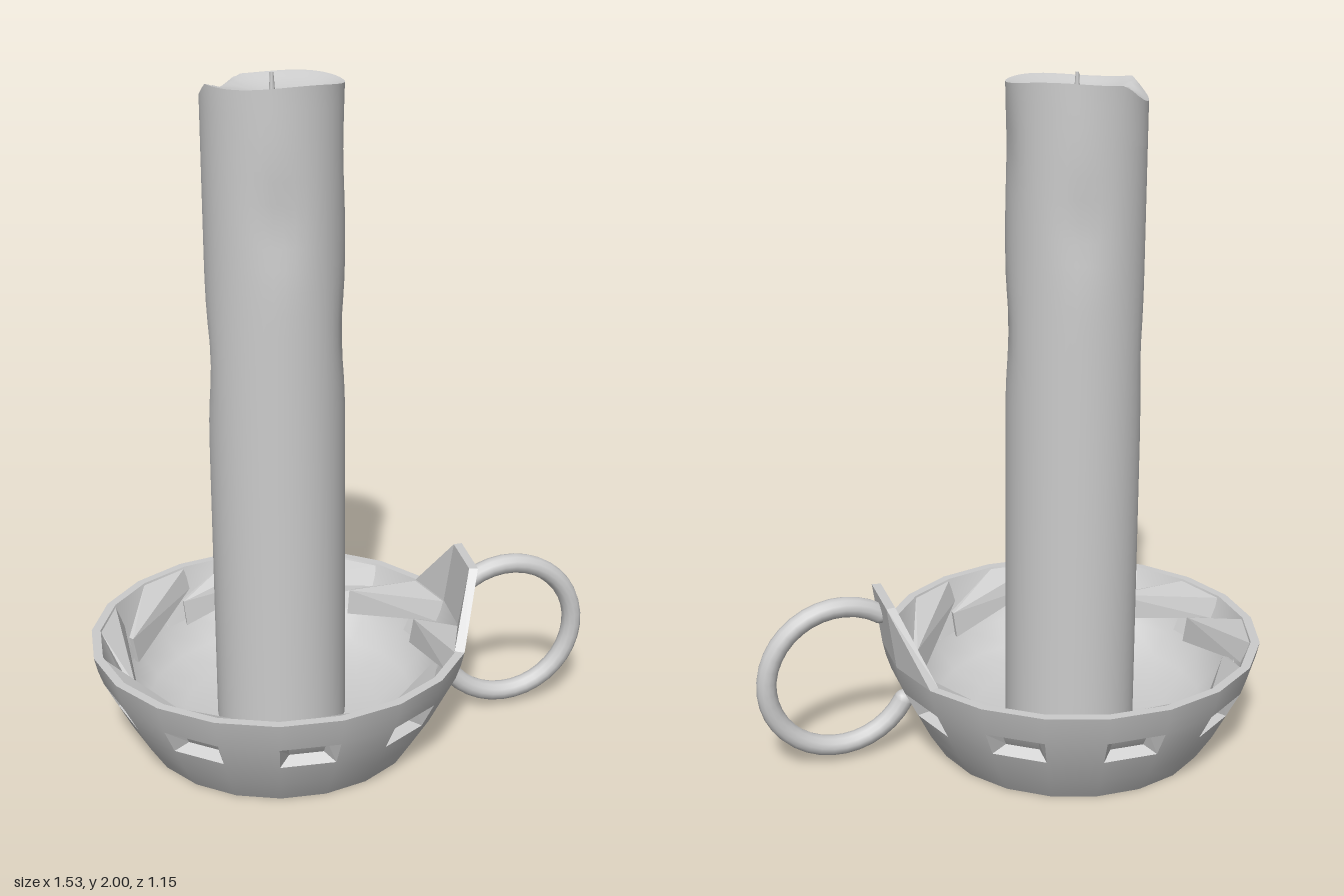
import * as THREE from 'three';
import { mergeVertices } from 'three/addons/utils/BufferGeometryUtils.js';
import { ConvexGeometry } from 'three/addons/geometries/ConvexGeometry.js';

const SIDES = 20, STEP = Math.PI * 2 / SIDES, DEG = Math.PI / 180;
const smooth = new THREE.MeshStandardMaterial({ color: 0xcccccc, side: THREE.DoubleSide });
const flat = new THREE.MeshStandardMaterial({ color: 0xcccccc, side: THREE.DoubleSide, flatShading: true });

// Point at radius r, height y, angle a (from +z towards +x)
const polar = (r, y, a) => new THREE.Vector3(r * Math.sin(a), y, r * Math.cos(a));

function add(parent, name, geometry, material) {
  const mesh = new THREE.Mesh(geometry, material);
  mesh.name = name;
  parent.add(mesh);
  return mesh;
}

function lathe(points, segments = SIDES, start = 0, length = Math.PI * 2) {
  return new THREE.LatheGeometry(points.map(p => new THREE.Vector2(...p)), segments, start, length);
}

// Gives the bowl's separate bands one continuous curved shading
function wallNormals(geo) {
  const p = geo.attributes.position, n = geo.attributes.normal;
  for (let i = 0; i < p.count; i++) {
    const r = Math.hypot(p.getX(i), p.getZ(i));
    const v = new THREE.Vector3(p.getX(i) / r, -(0.65 - 1.1 * p.getY(i)), p.getZ(i) / r).normalize();
    n.setXYZ(i, v.x, v.y, v.z);
  }
  return geo;
}

function quads(list) {
  const pos = [];
  for (const [a, b, c, d] of list) for (const v of [a, b, c, a, c, d]) pos.push(v.x, v.y, v.z);
  const geo = new THREE.BufferGeometry();
  geo.setAttribute('position', new THREE.Float32BufferAttribute(pos, 3));
  geo.computeVertexNormals();
  return geo;
}

// Tapered recess filling one panel of the bowl wall
function windowRecess(a) {
  const outer = [polar(0.51, 0.16, a), polar(0.51, 0.16, a + STEP),
    polar(0.55, 0.24, a + STEP), polar(0.55, 0.24, a)];
  const m = 0.17 * STEP;
  const inner = [polar(0.475, 0.18, a + m), polar(0.475, 0.18, a + STEP - m),
    polar(0.505, 0.232, a + STEP - m), polar(0.505, 0.232, a + m)];
  const faces = [inner];
  for (let i = 0; i < 4; i++) {
    const j = (i + 1) % 4;
    faces.push([outer[i], outer[j], inner[j], inner[i]]);
  }
  return quads(faces);
}

// Slanted shard running along the inside of the rim
function fin(c) {
  return new ConvexGeometry([
    polar(0.548, 0.325, c - 45 * DEG), polar(0.548, 0.325, c - 27 * DEG),
    polar(0.52, 0.26, c - 45 * DEG),
    polar(0.47, 0.25, c - 2 * DEG), polar(0.485, 0.25, c - 3 * DEG),
    polar(0.455, 0.17, c - 2 * DEG), polar(0.47, 0.17, c - 3 * DEG),
  ]);
}

function createBowl() {
  const bowl = new THREE.Group();
  bowl.name = 'bowl';
  add(bowl, 'lowerWall', wallNormals(lathe([[0.42, 0], [0.47, 0.08], [0.51, 0.16]])), smooth);
  add(bowl, 'upperWall', wallNormals(lathe([[0.55, 0.24], [0.565, 0.285], [0.575, 0.33]])), smooth);
  add(bowl, 'rim', lathe([[0.575, 0.33], [0.548, 0.33]]), smooth);
  add(bowl, 'innerBowl', lathe([[0.548, 0.33], [0.515, 0.24], [0.47, 0.165], [0.41, 0.1],
    [0.3, 0.06], [0.15, 0.045], [0, 0.04]]), smooth);
  const base = add(bowl, 'base', new THREE.CircleGeometry(0.42, SIDES), smooth);
  base.rotation.x = Math.PI / 2;

  // Windows alternate with plain panels
  for (let i = 0; i < SIDES; i++) {
    const a = i * STEP;
    if (i % 2) {
      add(bowl, 'wallPanel', wallNormals(lathe([[0.51, 0.16], [0.55, 0.24]], 1, a, STEP)), smooth);
    } else {
      add(bowl, 'window', windowRecess(a), flat);
      add(bowl, 'innerFin', fin(a + STEP / 2), flat);
    }
  }

  // Raised tab behind the handle, spanning three panels
  const angles = [4, 5, 6, 7].map(i => i * STEP);
  const layer = (rim, top) => angles.map(a => polar(rim, 0.33, a))
    .concat(polar(top, 0.52, angles[1]), polar(top, 0.52, angles[2]));
  const o = layer(0.575, 0.602), n = layer(0.545, 0.575);
  const faces = [[o[1], o[2], o[5], o[4]], [o[0], o[1], o[4], o[4]], [o[2], o[3], o[5], o[5]],
    [n[2], n[1], n[4], n[5]], [n[1], n[0], n[4], n[4]], [n[3], n[2], n[5], n[5]],
    [o[0], o[4], n[4], n[0]], [o[4], o[5], n[5], n[4]], [o[5], o[3], n[3], n[5]]];
  add(bowl, 'handleTab', quads(faces), flat);
  return bowl;
}

// Melted wax: shallow dents in the sides and a dip in the top edge
function melt(geo) {
  geo.deleteAttribute('uv');
  geo.deleteAttribute('normal');
  const p = geo.attributes.position, v = new THREE.Vector3();
  const dents = [[-90, 1.2, 0.014], [85, 1.27, 0.012], [5, 1.62, 0.012], [175, 1.6, 0.01], [95, 1.8, 0.008]];
  for (let i = 0; i < p.count; i++) {
    v.fromBufferAttribute(p, i);
    const r = Math.hypot(v.x, v.z), a = Math.atan2(v.x, v.z);
    let k = 1;
    for (const [deg, y, depth] of dents) {
      const da = Math.acos(Math.min(1, Math.max(-1, Math.cos(a - deg * DEG))));
      k -= depth / 0.2 * Math.exp(-((da / 0.3) ** 2) - ((v.y - y) / 0.12) ** 2);
    }
    if (v.y > 1.85) {
      const side = Math.max(0, (-0.96 * v.x - 0.28 * v.z) / 0.2 - 0.72) / 0.28;
      v.y += -0.06 * side + 0.005 * Math.sin(3 * a) * r / 0.2;
    }
    p.setXYZ(i, v.x * k, v.y, v.z * k);
  }
  const merged = mergeVertices(geo, 1e-4);
  merged.computeVertexNormals();
  return merged;
}

function createCandle() {
  const candle = new THREE.Group();
  candle.name = 'candle';
  const side = [];
  for (let i = 0; i <= 32; i++) side.push([0.198, 0.04 + 1.94 * i / 32]);
  add(candle, 'waxSide', melt(lathe(side, 40)), smooth);
  add(candle, 'waxTop', melt(lathe([[0.198, 1.98], [0.185, 1.977], [0.16, 1.966], [0.12, 1.953],
    [0.07, 1.945], [0.03, 1.942], [0.022, 1.932], [0, 1.93]], 40)), smooth);
  const wick = add(candle, 'wick', new THREE.CylinderGeometry(0.005, 0.01, 0.075, 8), smooth);
  wick.position.y = 1.9625;
  return candle;
}

// Ring handle, open where it meets the bowl
function createHandle() {
  const handle = new THREE.Group();
  handle.name = 'handle';
  const from = -150 * DEG, to = 124 * DEG, R = 0.222, tube = 0.03;
  const ring = add(handle, 'ring', new THREE.TorusGeometry(R, tube, 12, 28, to - from), smooth);
  ring.rotation.z = from;
  for (const a of [from, to]) {
    const end = add(handle, 'ringEnd', new THREE.SphereGeometry(tube, 12, 8), smooth);
    end.position.set(R * Math.cos(a), R * Math.sin(a), 0);
  }
  handle.rotation.y = 13 * DEG;
  handle.position.set(0.707, 0.27, -0.092);
  return handle;
}

export function createModel() {
  const model = new THREE.Group();
  model.name = 'candleHolder';
  model.add(createBowl(), createCandle(), createHandle());
  for (const part of model.children) part.position.x -= 0.19;
  return model;
}
